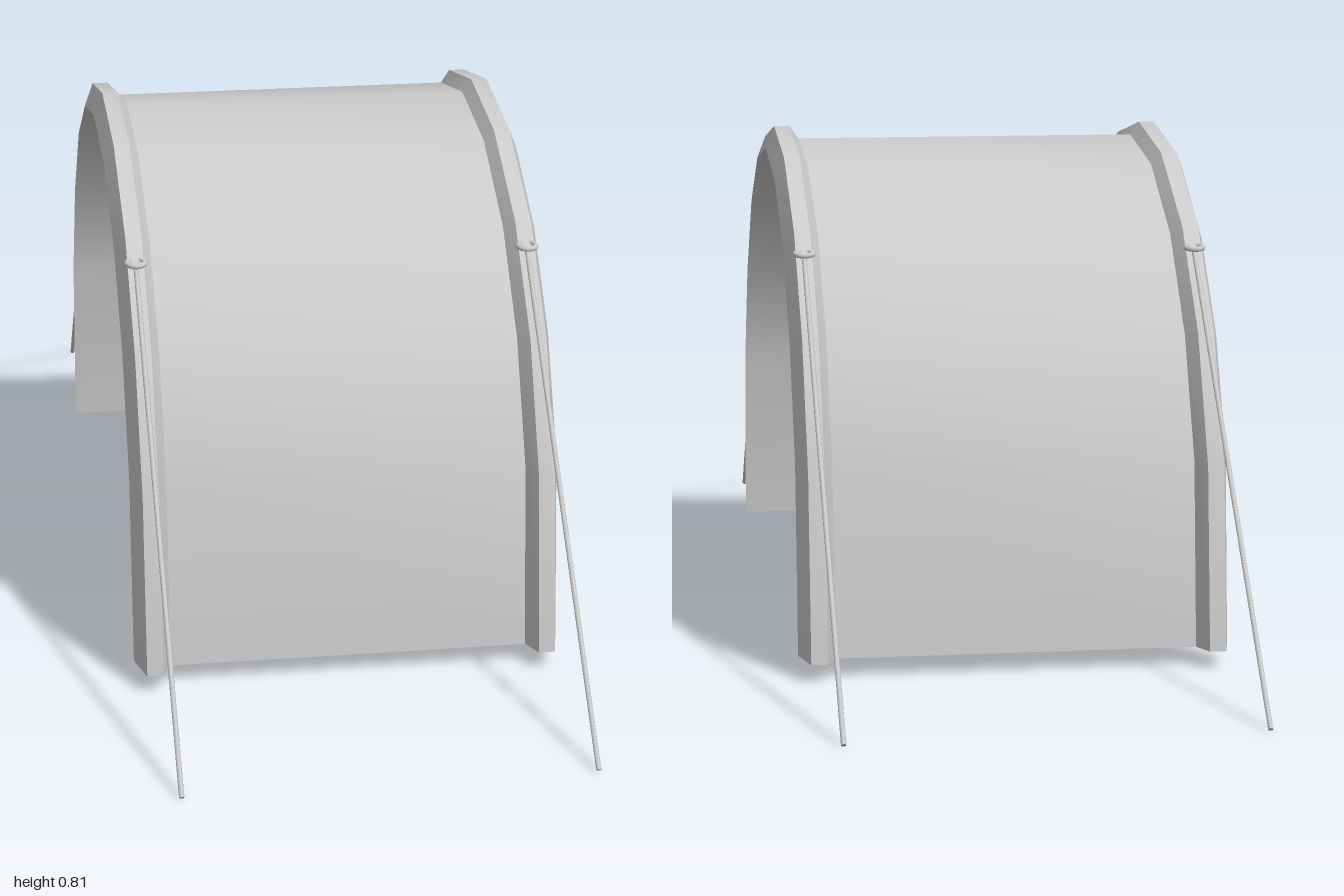
import * as THREE from 'three';
import { toCreasedNormals } from 'three/addons/utils/BufferGeometryUtils.js';

// Half of the arch, foot to crown: [outer z, outer y, inner z, inner y]
const HALF = [
  [0.63, 0.03, 0.567, 0.03],
  [0.6, 0.32, 0.54, 0.33],
  [0.513, 0.52, 0.457, 0.51],
  [0.38, 0.675, 0.338, 0.65],
  [0.198, 0.778, 0.183, 0.743],
  [0, 0.813, 0, 0.775],
];

// Half of the cross-section: [x, share of the thickness], a sheet with a raised rim
const RIM = [[0.343, 0], [0.328, 1], [0.302, 1], [0.287, 0.43]];

function archGeometry() {
  const mirrored = HALF.slice(0, -1).reverse().map(([a, b, c, d]) => [-a, b, -c, d]);
  const stations = [...HALF, ...mirrored];
  const section = [...RIM, ...RIM.slice().reverse().map(([x, t]) => [-x, t])];
  const n = section.length;
  const positions = [];
  const index = [];

  for (const [oz, oy, iz, iy] of stations) {
    for (const [x, t] of section) {
      positions.push(x, iy + (oy - iy) * t, iz + (oz - iz) * t);
    }
  }
  for (let i = 0; i < stations.length - 1; i++) {
    for (let j = 0; j < n; j++) {
      const a = i * n + j;
      const b = i * n + ((j + 1) % n);
      index.push(a, a + n, b + n, a, b + n, b);
    }
  }
  // Flat ends under both feet
  const contour = section.map(([x, t]) => new THREE.Vector2(x, t));
  const last = (stations.length - 1) * n;
  for (const [a, b, c] of THREE.ShapeUtils.triangulateShape(contour, [])) {
    index.push(a, b, c, last + a, last + c, last + b);
  }

  const geometry = new THREE.BufferGeometry();
  geometry.setAttribute('position', new THREE.Float32BufferAttribute(positions, 3));
  geometry.setIndex(index);
  return toCreasedNormals(geometry, 0.75);
}

// Thin rod between two points
function rod(from, to, radius, material) {
  const dir = to.clone().sub(from);
  const mesh = new THREE.Mesh(
    new THREE.CylinderGeometry(radius, radius, dir.length(), 8), material);
  mesh.position.copy(from).add(to).multiplyScalar(0.5);
  mesh.quaternion.setFromUnitVectors(new THREE.Vector3(0, 1, 0), dir.normalize());
  return mesh;
}

export function createModel() {
  const model = new THREE.Group();
  const material = new THREE.MeshStandardMaterial({ color: 0xcccccc, side: THREE.DoubleSide });

  const canopy = new THREE.Mesh(archGeometry(), material);
  canopy.name = 'canopy';
  model.add(canopy);

  // Four guy ropes, each tied to a small ring on the rim
  const ringGeometry = new THREE.TorusGeometry(0.014, 0.0045, 8, 16);
  for (const sx of [1, -1]) {
    for (const sz of [1, -1]) {
      const x = 0.315 * sx;
      const guy = new THREE.Group();
      guy.name = `guyRope${sz > 0 ? 'Front' : 'Back'}${sx > 0 ? 'Left' : 'Right'}`;

      const ring = new THREE.Mesh(ringGeometry, material);
      ring.name = 'ring';
      ring.position.set(x, 0.645, 0.412 * sz);
      ring.rotation.x = Math.PI / 2 + 0.12 * sz;

      const rope = rod(
        new THREE.Vector3(x, 0.64, 0.412 * sz),
        new THREE.Vector3(x, 0.003, 0.997 * sz), 0.004, material);
      rope.name = 'rope';

      guy.add(ring, rope);
      model.add(guy);
    }
  }
  return model;
}
